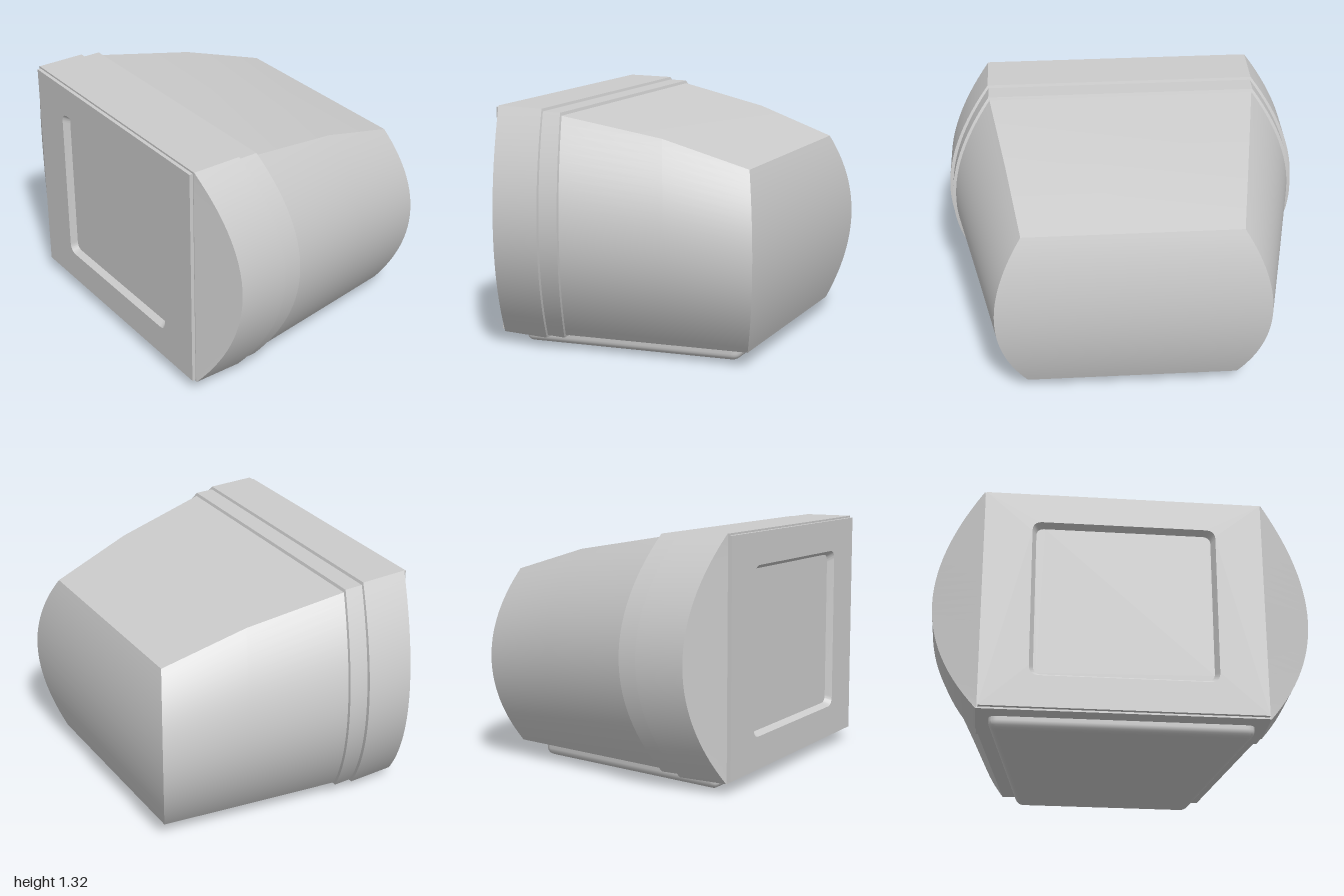
import * as THREE from 'three';
import { mergeGeometries, toCreasedNormals } from 'three/addons/utils/BufferGeometryUtils.js';

const material = new THREE.MeshStandardMaterial({ color: 0xcccccc });
const STEPS = 28;
const HEIGHTS = Array.from({ length: STEPS + 1 }, (_, i) => (2 * i) / STEPS - 1);
const bulge = (t) => 1 - t * t;

// Smooth surface through rows of points [x, y, z]
function grid(rows) {
  const cols = rows[0].length;
  const index = [];
  for (let r = 0; r < rows.length - 1; r++) {
    for (let c = 0; c < cols - 1; c++) {
      const a = r * cols + c;
      const b = a + cols;
      index.push(a, a + 1, b, a + 1, b + 1, b);
    }
  }
  const geometry = new THREE.BufferGeometry();
  geometry.setAttribute('position', new THREE.Float32BufferAttribute(rows.flat(2), 3));
  geometry.setIndex(index);
  geometry.computeVertexNormals();
  return geometry;
}

// Point on the bulging side of a station; side is +1 or -1, t runs from bottom to top
function sidePoint(s, side, t) {
  const g = bulge(t);
  return [
    side * (s.edge + (s.mid - s.edge) * g),
    s.bottom + ((s.top - s.bottom) * (t + 1)) / 2,
    s.z + s.dz * g,
  ];
}

const station = (z, dz, bottom, top, edge, mid) => ({ z, dz, bottom, top, edge, mid });

// Shell through stations from front to back: bulging sides, flat top and bottom, curved back
function shell(stations) {
  const down = [...HEIGHTS].reverse();
  const last = stations[stations.length - 1];
  return [
    grid(stations.map((s) => down.map((t) => sidePoint(s, 1, t)))),
    grid(stations.map((s) => HEIGHTS.map((t) => sidePoint(s, -1, t)))),
    grid(stations.map((s) => [sidePoint(s, -1, 1), sidePoint(s, 1, 1)])),
    grid(stations.map((s) => [sidePoint(s, 1, -1), sidePoint(s, -1, -1)])),
    grid(HEIGHTS.map((t) => [sidePoint(last, 1, t), sidePoint(last, -1, t)])),
  ];
}

// Polygon with rounded corners
function roundedShape(points, radius) {
  const shape = new THREE.Shape();
  const corners = points.map(([x, y]) => new THREE.Vector2(x, y));
  corners.forEach((p, i) => {
    const prev = corners[(i + corners.length - 1) % corners.length];
    const next = corners[(i + 1) % corners.length];
    const a = prev.clone().sub(p).setLength(radius).add(p);
    const b = next.clone().sub(p).setLength(radius).add(p);
    if (i === 0) shape.moveTo(a.x, a.y);
    else shape.lineTo(a.x, a.y);
    shape.quadraticCurveTo(p.x, p.y, b.x, b.y);
  });
  shape.closePath();
  return shape;
}

const rect = (w, y0, y1) => [[-w, y0], [w, y0], [w, y1], [-w, y1]];

export function createModel() {
  const model = new THREE.Group();
  const add = (name, geometry) => {
    const mesh = new THREE.Mesh(geometry, material);
    mesh.name = name;
    model.add(mesh);
    return mesh;
  };

  const opening = roundedShape(rect(0.49, 0.245, 1.14), 0.055);
  const screenOutline = roundedShape(rect(0.468, 0.265, 1.118), 0.045);

  // Front housing with slanted cheeks
  const front = station(0.73, -0.11, 0.06, 1.32, 0.75, 1.0);
  const cheek = (side) => grid(HEIGHTS.map((t) => {
    const outer = sidePoint(front, side, t);
    const inner = [side * 0.745, outer[1], 0.73];
    return side > 0 ? [inner, outer] : [outer, inner];
  }));
  add('frontHousing', mergeGeometries([
    ...shell([front, station(0.46, -0.11, 0.06, 1.32, 0.75, 1.0)]),
    cheek(1),
    cheek(-1),
  ]));

  // Flat face behind the bezel
  const face = new THREE.Shape(rect(0.745, 0.06, 1.32).map(([x, y]) => new THREE.Vector2(x, y)));
  face.holes.push(opening);
  add('frontFace', new THREE.ShapeGeometry(face)).position.z = 0.73;

  // Raised bezel panel around the screen
  const panel = new THREE.Shape(rect(0.74, 0.07, 1.31).map(([x, y]) => new THREE.Vector2(x, y)));
  panel.holes.push(opening);
  add('bezel', toCreasedNormals(
    new THREE.ExtrudeGeometry(panel, { depth: 0.02, bevelEnabled: false }), 0.6,
  )).position.z = 0.73;

  // Sloped rim leading down to the screen
  const outline = (shape, z) => shape.getPoints(12).map((p) => [p.x, p.y, z]);
  add('screenRim', toCreasedNormals(grid([outline(opening, 0.75), outline(screenOutline, 0.715)]), 0.6));
  add('screen', new THREE.ShapeGeometry(screenOutline)).position.z = 0.715;

  // Narrow stepped band behind the front housing
  add('middleBand', mergeGeometries(shell([
    station(0.5, -0.11, 0.075, 1.305, 0.745, 0.98),
    station(0.35, -0.11, 0.075, 1.305, 0.745, 0.98),
  ])));

  // Tapered rear housing
  add('rearHousing', mergeGeometries(shell([
    station(0.4, -0.11, 0.09, 1.298, 0.745, 0.972),
    station(0.35, -0.11, 0.09, 1.29, 0.74, 0.962),
    station(-0.2, -0.1, 0.09, 1.195, 0.653, 0.842),
    station(-0.66, -0.09, 0.09, 1.06, 0.58, 0.74),
  ])));

  // Tapered foot plate with a rounded lower edge
  const foot = roundedShape([[-0.5, -0.57], [0.5, -0.57], [0.69, 0.64], [-0.69, 0.64]], 0.05);
  const footGeometry = new THREE.ExtrudeGeometry(foot, {
    depth: 0.1, bevelThickness: 0.04, bevelSize: 0.04, bevelOffset: -0.04, bevelSegments: 5,
  });
  footGeometry.rotateX(Math.PI / 2).translate(0, 0.14, 0);
  add('foot', toCreasedNormals(footGeometry, 0.6));

  return model;
}
